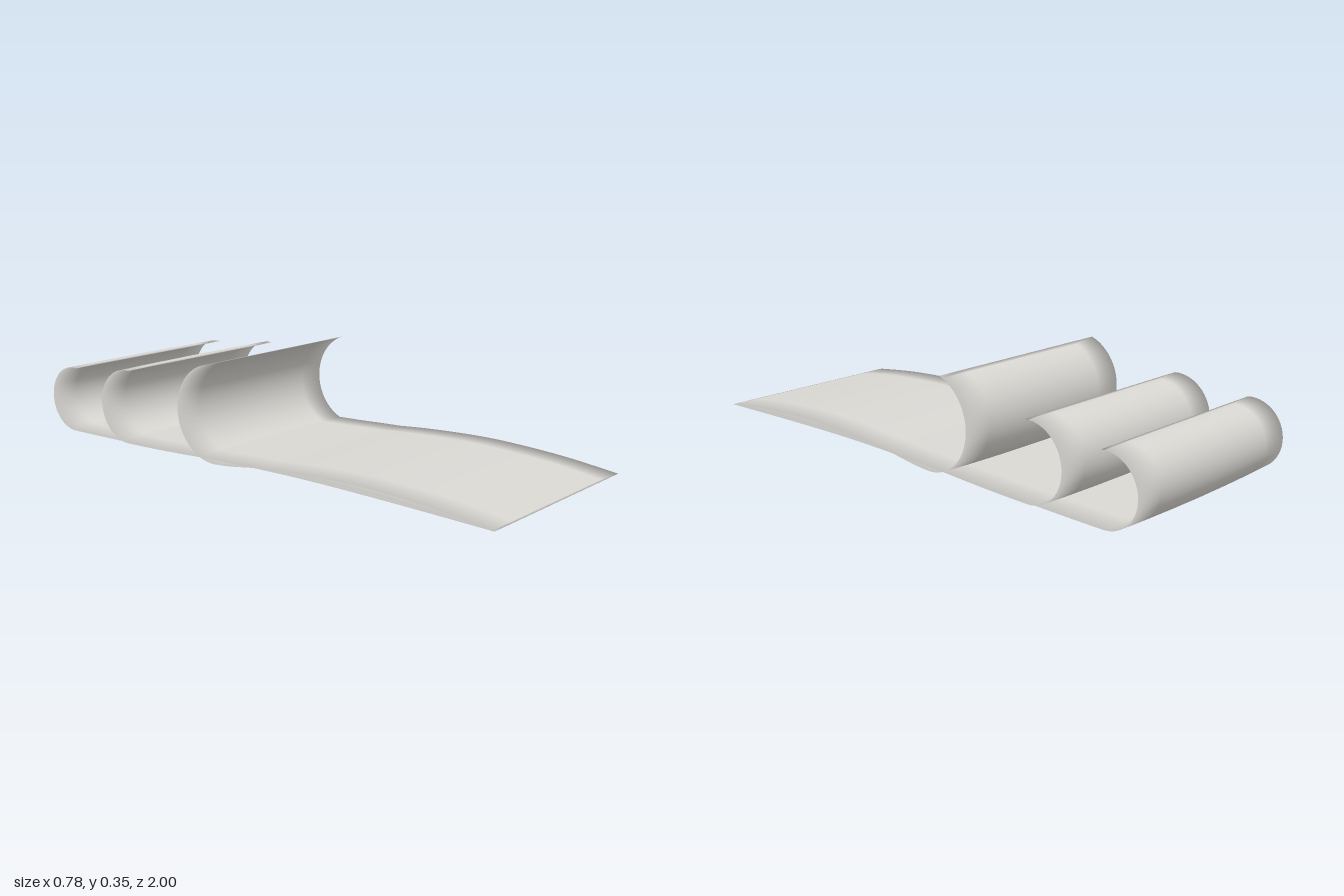
import * as THREE from 'three';

const HALF_WIDTH = 0.39;
const HALF_THICKNESS = 0.006;
const COLUMNS = [-1, -0.72, -0.36, 0, 0.36, 0.72, 1].map((c) => c * HALF_WIDTH);

// Side profile of one sheet as (z, y): a gently bowed flat run, then a curl.
function sheetProfile({ flat, centre, radius, sweep }) {
  const [cz, cy] = centre;
  const start = new THREE.Vector2(cz, cy - radius);
  const run = new THREE.SplineCurve([...flat.map(([z, y]) => new THREE.Vector2(z, y)), start]);
  const points = run.getPoints(28);
  points.splice(1, 0, run.getPoint(0.012)); // close row for a crisp front lip
  for (let i = 1; i <= 28; i++) {
    const a = (sweep * i) / 28;
    points.push(new THREE.Vector2(cz - radius * Math.sin(a), cy - radius * Math.cos(a)));
  }
  return points;
}

// Thin pillow-like shell: upper and lower skins that meet along the rim.
function sheetGeometry(profile) {
  const rows = profile.length, cols = COLUMNS.length;
  const positions = [], normals = [], indices = [];
  for (const side of [1, -1]) {
    const base = positions.length / 3;
    for (let i = 0; i < rows; i++) {
      const p = profile[i];
      const t = profile[Math.min(i + 1, rows - 1)].clone().sub(profile[Math.max(i - 1, 0)]).normalize();
      const ny = -t.x, nz = t.y; // upward normal of the profile
      const ends = Math.min(p.distanceTo(profile[0]), p.distanceTo(profile[rows - 1]));
      const fade = Math.min(1, ends / 0.12);
      COLUMNS.forEach((x, j) => {
        const off = side * HALF_THICKNESS * fade * (1 - (x / HALF_WIDTH) ** 2);
        positions.push(x, p.y + ny * off, p.x + nz * off);
        // The rim faces outwards so the shading rolls over the edge.
        if (j === 0 || j === cols - 1) normals.push(Math.sign(x), 0, 0);
        else if (i === 0) normals.push(0, -t.y, -t.x);
        else if (i === rows - 1) normals.push(0, t.y, t.x);
        else normals.push(0, side * ny, side * nz);
        if (i < rows - 1 && j < cols - 1) {
          const a = base + i * cols + j, b = a + 1, c = a + cols, d = c + 1;
          if (side > 0) indices.push(a, b, c, b, d, c);
          else indices.push(a, c, b, b, c, d);
        }
      });
    }
  }
  const geometry = new THREE.BufferGeometry();
  geometry.setAttribute('position', new THREE.Float32BufferAttribute(positions, 3));
  geometry.setAttribute('normal', new THREE.Float32BufferAttribute(normals, 3));
  geometry.setIndex(indices);
  return geometry;
}

export function createModel() {
  const group = new THREE.Group();
  group.name = 'curledSheets';
  const paper = new THREE.MeshStandardMaterial({ color: 0xdad8d3 });
  paper.name = 'paper';

  const sheets = {
    topSheet: {
      flat: [[1, 0.012], [0.8, 0.036], [0.6, 0.049], [0.45, 0.052], [0.25, 0.045], [0.08, 0.032], [-0.05, 0.015]],
      centre: [-0.13, 0.183], radius: 0.174, sweep: 2.83,
    },
    middleSheet: {
      flat: [[1, 0.012], [0.7, 0.03], [0.4, 0.039], [0.1, 0.034], [-0.15, 0.024], [-0.4, 0.013]],
      centre: [-0.572, 0.146], radius: 0.137, sweep: 3.25,
    },
    bottomSheet: {
      flat: [[1, 0.012], [0.6, 0.025], [0.25, 0.031], [-0.1, 0.026], [-0.45, 0.016], [-0.7, 0.011]],
      centre: [-0.872, 0.132], radius: 0.123, sweep: 3.28,
    },
  };

  for (const [name, sheet] of Object.entries(sheets)) {
    const mesh = new THREE.Mesh(sheetGeometry(sheetProfile(sheet)), paper);
    mesh.name = name;
    group.add(mesh);
  }
  return group;
}
